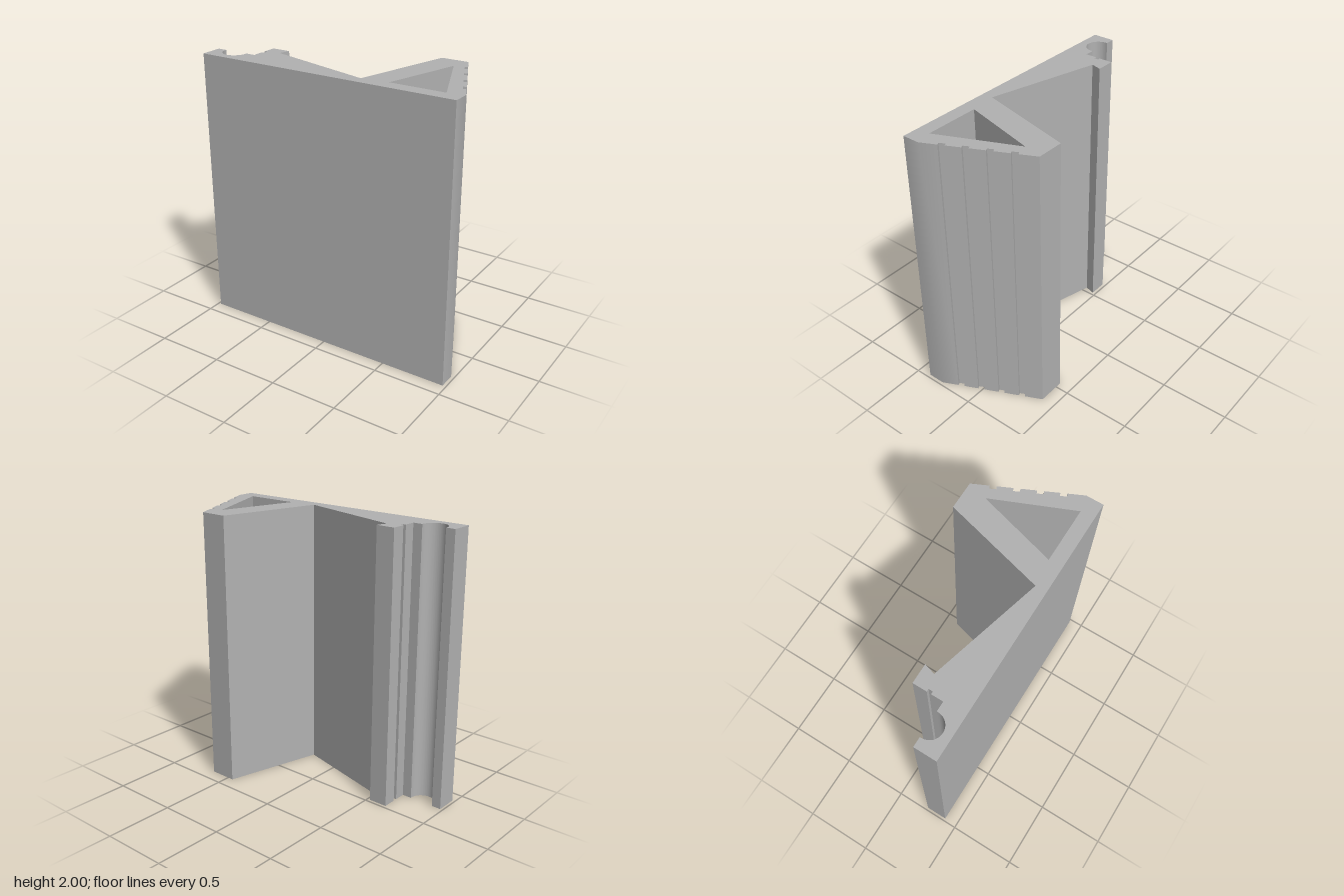
import * as THREE from 'three';
import { toCreasedNormals } from 'three/addons/utils/BufferGeometryUtils.js';

export function createModel() {
  const group = new THREE.Group();
  group.name = 'extrudedProfile';
  const grey = new THREE.MeshStandardMaterial({ color: 0xb2b2b2 });
  grey.name = 'grey';

  // Cross-section drawn in (x, z); shape y is -z
  const shape = new THREE.Shape();
  const to = (x, z) => shape.lineTo(x, -z);

  // Flat front face and right edge
  shape.moveTo(-0.98, -0.4);
  to(0.975, 0.4);
  to(0.975, 0.275);

  // Sloping side with four square grip notches
  const top = new THREE.Vector2(0.655, -0.4);
  const along = new THREE.Vector2(0.32, 0.675).normalize();
  const inward = new THREE.Vector2(-along.y, along.x);
  const slope = (t, depth) =>
    to(top.x + along.x * t + inward.x * depth, top.y + along.y * t + inward.y * depth);
  const notchWidth = 0.045, notchDepth = 0.022;
  for (const z of [0.125, -0.01, -0.147, -0.284]) {
    const t = (z - top.y) / along.y;
    slope(t + notchWidth, 0);
    slope(t + notchWidth, notchDepth);
    slope(t, notchDepth);
    slope(t, 0);
  }

  // Blunt ridge, valley and tapering web
  to(0.655, -0.4);
  to(0.455, -0.4);
  to(0.262, 0.32);
  to(-0.545, 0.103);

  // Hooked rib with a small slot
  to(-0.522, 0.025);
  to(-0.66, 0.025);
  to(-0.66, 0.125);
  to(-0.64, 0.125);
  to(-0.64, 0.155);
  to(-0.66, 0.155);
  to(-0.66, 0.24);

  // Round groove
  to(-0.73, 0.24);
  shape.absarc(-0.82, -0.25, 0.09, 0, -Math.PI, true);
  to(-0.91, 0.24);
  to(-0.98, 0.24);
  shape.closePath();

  // Triangular hollow
  const hollow = new THREE.Path();
  hollow.moveTo(0.457, -0.3);
  hollow.lineTo(0.617, 0.26);
  hollow.lineTo(0.857, -0.3);
  hollow.closePath();
  shape.holes.push(hollow);

  const extruded = new THREE.ExtrudeGeometry(shape, { depth: 2, bevelEnabled: false, curveSegments: 24 });
  extruded.rotateX(-Math.PI / 2);
  const profile = new THREE.Mesh(toCreasedNormals(extruded, 0.55), grey);
  profile.name = 'profileBody';
  group.add(profile);
  return group;
}
